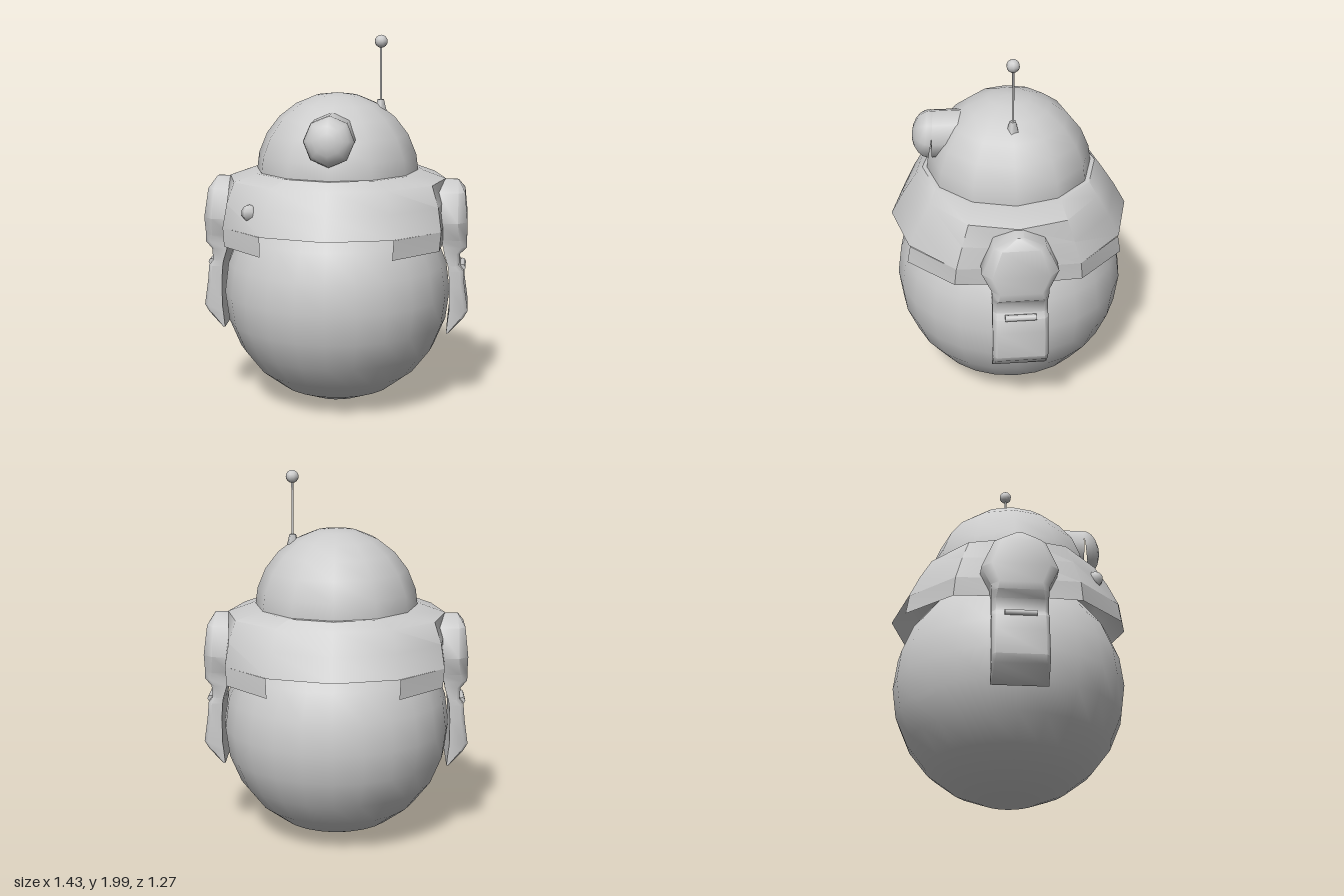
import * as THREE from 'three';
import { toCreasedNormals } from 'three/addons/utils/BufferGeometryUtils.js';

const grey = new THREE.MeshStandardMaterial({ color: 0xcccccc });
const thin = new THREE.MeshStandardMaterial({ color: 0xcccccc, side: THREE.DoubleSide });

function add(parent, name, geometry, x = 0, y = 0, z = 0, material = grey) {
  const mesh = new THREE.Mesh(geometry, material);
  mesh.name = name;
  mesh.position.set(x, y, z);
  parent.add(mesh);
  return mesh;
}

// Skin a stack of cross-sections, listed from top to bottom
function skin(rows, closed, caps, crease = 0.7) {
  const n = rows[0].length;
  const index = [];
  for (let i = 0; i < rows.length - 1; i++) {
    for (let j = 0; j < (closed ? n : n - 1); j++) {
      const k = (j + 1) % n;
      const a = i * n + j, b = i * n + k, c = a + n, d = b + n;
      index.push(a, b, c, b, d, c);
    }
  }
  if (caps) {
    const last = (rows.length - 1) * n;
    for (let j = 1; j < n - 1; j++) index.push(0, j + 1, j, last, last + j, last + j + 1);
  }
  const g = new THREE.BufferGeometry();
  g.setAttribute('position', new THREE.Float32BufferAttribute(rows.flat(2), 3));
  g.setIndex(index);
  return toCreasedNormals(g, crease);
}

// Point on the collar: wider in x than z near the top, flattened under the arms
function collarPoint(degrees, [y, rx, rz]) {
  const a = THREE.MathUtils.degToRad(degrees);
  const x = THREE.MathUtils.clamp(Math.sin(a) * rx, -0.585, 0.585);
  return [x, y, Math.cos(a) * rz];
}

function makeCollar() {
  const collar = new THREE.Group();
  collar.name = 'collar';
  // y, x radius, z radius
  const profile = [
    [1.285, 0.4, 0.4], [1.285, 0.46, 0.46], [1.24, 0.6, 0.5],
    [1.13, 0.64, 0.57], [1.01, 0.66, 0.635],
  ];
  const hem = [0.91, 0.65, 0.655];
  const around = Array.from({ length: 12 }, (_, i) => -30 * i);
  add(collar, 'collarBand', skin(profile.map(p => around.map(a => collarPoint(a, p))), true, false),
    0, 0, 0, thin);
  // Lower flap on each side
  for (const start of [0, 180]) {
    const angles = [149, 120, 90, 60, 31].map(a => a + start);
    const rows = [profile[4], hem].map(p => angles.map(a => collarPoint(a, p)));
    add(collar, 'collarFlap', skin(rows, false, false), 0, 0, 0, thin);
  }
  return collar;
}

function makeArm(name) {
  const arm = new THREE.Group();
  arm.name = name;
  // y, half width in z, inner x, outer x, bevel
  const sections = [
    [1.235, 0.02, 0.55, 0.655, 0.005],
    [1.18, 0.13, 0.55, 0.69, 0.035],
    [1.03, 0.195, 0.55, 0.705, 0.05],
    [0.93, 0.147, 0.56, 0.705, 0.04],
    [0.89, 0.143, 0.58, 0.705, 0.03],
    [0.855, 0.142, 0.585, 0.67, 0.02],
    [0.79, 0.142, 0.605, 0.665, 0.02],
    [0.76, 0.143, 0.61, 0.688, 0.02],
    [0.68, 0.143, 0.615, 0.695, 0.02],
    [0.54, 0.143, 0.615, 0.715, 0.02],
    [0.5, 0.143, 0.61, 0.69, 0.015],
    [0.42, 0.143, 0.602, 0.612, 0.002],
  ];
  const rows = sections.map(([y, w, inner, outer, b]) => [
    [inner, y, -w], [outer - b, y, -w], [outer, y, -w + b],
    [outer, y, w - b], [outer - b, y, w], [inner, y, w],
  ]);
  add(arm, 'armShell', skin(rows, true, true, 0.9));
  const bar = add(arm, 'armBar', new THREE.CylinderGeometry(0.017, 0.017, 0.16, 8), 0.683, 0.77, 0);
  bar.rotation.x = Math.PI / 2;
  return arm;
}

export function createModel() {
  const model = new THREE.Group();
  model.name = 'robot';

  add(model, 'body', new THREE.SphereGeometry(0.615, 24, 12), 0, 0.625, 0);
  model.add(makeCollar());

  // Domed head
  const dome = new THREE.SphereGeometry(0.44, 12, 6, 0, Math.PI * 2, 0, Math.PI / 2);
  add(model, 'head', dome, 0, 1.255, 0);

  // Eye: a short barrel with a rounded, slightly raised lens
  const eye = new THREE.Group();
  eye.name = 'eye';
  eye.position.set(0, 1.485, 0);
  const barrel = add(eye, 'eyeBarrel', new THREE.CylinderGeometry(0.13, 0.13, 0.27, 8), 0, 0, 0.275);
  barrel.rotation.x = Math.PI / 2;
  const half = new THREE.SphereGeometry(0.132, 8, 5, 0, Math.PI * 2, 0, Math.PI / 2);
  half.scale(1, 0.7, 1);
  const lens = add(eye, 'eyeLens', half, 0, 0, 0.415);
  lens.rotation.x = Math.PI / 2 - 0.14;
  model.add(eye);

  // Antenna on the left of the head
  const antenna = new THREE.Group();
  antenna.name = 'antenna';
  antenna.position.x = 0.233;
  add(antenna, 'antennaBase', new THREE.CylinderGeometry(0.018, 0.036, 0.07, 5), 0, 1.625, 0);
  add(antenna, 'antennaRod', new THREE.CylinderGeometry(0.006, 0.006, 0.32, 6), 0, 1.8, 0);
  add(antenna, 'antennaBall', new THREE.SphereGeometry(0.034, 10, 8), 0, 1.966, 0);
  model.add(antenna);

  // Small knob on the collar
  add(model, 'collarKnob', new THREE.SphereGeometry(0.044, 6, 5), -0.41, 1.11, 0.415);

  // Arms, the second turned half way round
  const leftArm = makeArm('leftArm');
  const rightArm = makeArm('rightArm');
  rightArm.rotation.y = Math.PI;
  model.add(leftArm, rightArm);

  return model;
}
